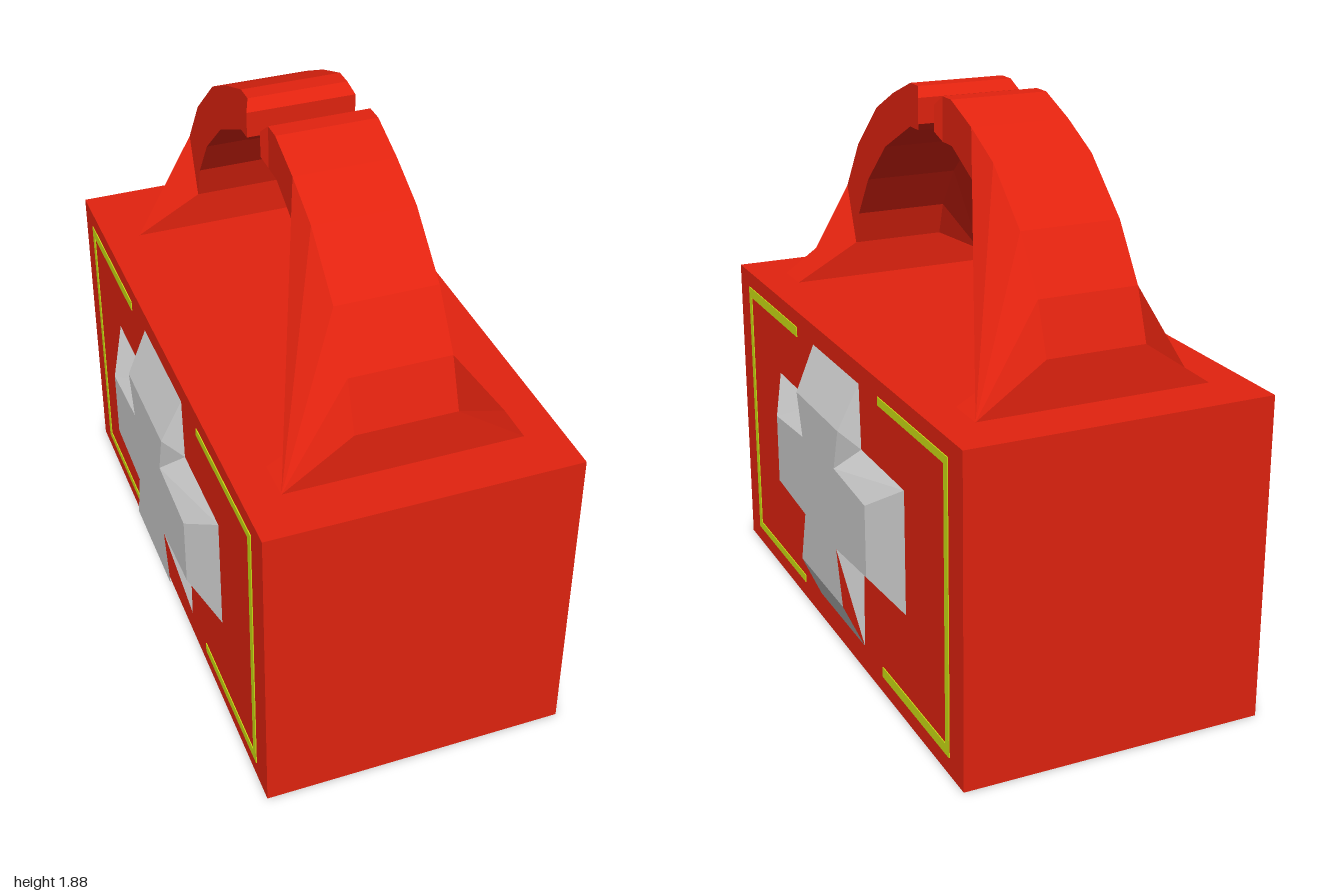
import * as THREE from 'three';

const mat = (color) => new THREE.MeshStandardMaterial({ color, flatShading: true });
const red = mat(0xe3230f);
const yellow = mat(0xcfe014);
const grey = mat(0xcccccc);

const BOX = { halfX: 0.51, height: 1.09, halfZ: 1 };

function mesh(name, geometry, material) {
  const m = new THREE.Mesh(geometry, material);
  m.name = name;
  return m;
}

function facets(triangles) {
  const g = new THREE.BufferGeometry();
  g.setAttribute('position', new THREE.Float32BufferAttribute(triangles.flat(2), 3));
  g.computeVertexNormals();
  return g;
}

// Handle arm: closed profile of [z, y, half width], from outer foot over the tip to inner foot
const W = 0.165, FOOT = 0.39, TIP = 0.18;
const ARM = [
  [0.825, 1.09, FOOT], [0.825, 1.246, W], [0.766, 1.41, W], [0.648, 1.583, W],
  [0.465, 1.747, W], [0.31, 1.824, W], [0.16, 1.882, W], [0.096, 1.882, W],
  [0.064, 1.85, TIP], [0.064, 1.765, TIP], [0.096, 1.738, W], [0.166, 1.738, W],
  [0.39, 1.626, W], [0.557, 1.476, W], [0.655, 1.33, W], [0.69, 1.214, W], [0.69, 1.09, FOOT],
];
// The two flanks meet the flared foot differently: a long web on one, a short gusset on the other
const END = [[5, 6, 11], [6, 7, 11], [7, 10, 11], [7, 8, 10], [8, 9, 10], [5, 11, 12]];
const WEB = [[0, 1, 2], [0, 2, 3], [0, 3, 4], [0, 4, 5], [0, 5, 13], [0, 13, 14],
  [0, 14, 15], [0, 15, 16], [5, 12, 13], ...END];
const GUSSET = [[0, 1, 16], [1, 2, 16], [2, 15, 16], [2, 14, 15], [2, 3, 14],
  [3, 13, 14], [3, 4, 13], [4, 12, 13], [4, 5, 12], ...END];

function handleGeometry() {
  const at = (i, side) => [side * ARM[i][2], ARM[i][1], ARM[i][0]];
  const tris = [];
  ARM.forEach((_, i) => {
    const j = (i + 1) % ARM.length;
    const a = at(i, -1), b = at(i, 1), c = at(j, 1), d = at(j, -1);
    tris.push([a, b, c], [a, c, d]);
  });
  for (const [a, b, c] of WEB) tris.push([at(a, -1), at(b, -1), at(c, -1)]);
  for (const [a, b, c] of GUSSET) tris.push([at(a, 1), at(c, 1), at(b, 1)]);
  return facets(tris);
}

// Bevelled cross: matching outlines [z, y] at the wall and on the raised face
function crossGeometry() {
  const mirror = (half) => [...half, ...half.slice().reverse().map(([z, y]) => [-z, y])];
  const base = mirror([[0.21, 1.02], [0.22, 0.8], [0.573, 0.8], [0.573, 0.38], [0.22, 0.38], [0.21, 0.09]]);
  const face = mirror([[0.195, 0.866], [0.15, 0.72], [0.42, 0.7], [0.42, 0.455], [0.15, 0.435], [0.2, 0.246]]);
  const low = ([z, y]) => [BOX.halfX, y, z];
  const high = ([z, y]) => [0.58, y, z];
  const centre = [0.58, 0.575, 0];
  const tris = [];
  base.forEach((p, i) => {
    const j = (i + 1) % base.length;
    const a = low(p), b = low(base[j]), c = high(face[j]), d = high(face[i]);
    tris.push([a, c, b], [a, d, c], [centre, c, d]);
  });
  // outline runs clockwise seen from +x, so reverse where needed
  return facets(tris.map((t) => orient(t, centre)));
}

// Turn a triangle so that it faces away from the wall behind the cross
function orient(t, centre) {
  const [a, b, c] = t.map((p) => new THREE.Vector3(...p));
  const n = b.clone().sub(a).cross(c.clone().sub(a));
  return n.x < 0 ? [t[0], t[2], t[1]] : t;
}

// Thin square bracket trim on the side wall
function bracketGeometry() {
  const s = new THREE.Shape([
    [0.373, 0.06], [0.9, 0.06], [0.9, 1.033], [0.373, 1.033],
    [0.373, 1.005], [0.873, 1.005], [0.873, 0.096], [0.373, 0.096],
  ].map(([x, y]) => new THREE.Vector2(x, y)));
  const g = new THREE.ExtrudeGeometry(s, { depth: 0.013, bevelEnabled: false });
  g.rotateY(Math.PI / 2);
  g.translate(0.5, 0, 0);
  return g;
}

export function createModel() {
  const model = new THREE.Group();
  model.name = 'firstAidCase';

  const body = mesh('caseBody', new THREE.BoxGeometry(BOX.halfX * 2, BOX.height, BOX.halfZ * 2), red);
  body.position.y = BOX.height / 2;
  model.add(body);

  const armGeo = handleGeometry();
  const crossGeo = crossGeometry();
  const backBracket = bracketGeometry();
  const frontBracket = bracketGeometry().rotateX(Math.PI).translate(0, 1.093, 0);

  // Everything repeats by a half turn about the vertical axis
  ['front', 'back'].forEach((end, i) => {
    const handle = mesh(end + 'Handle', armGeo, red);
    handle.rotation.y = i * Math.PI;
    model.add(handle);

    const panel = new THREE.Group();
    panel.name = i ? 'rightPanel' : 'leftPanel';
    panel.add(mesh('cross', crossGeo, grey));
    panel.add(mesh('bracketTrim', backBracket, yellow));
    panel.add(mesh('bracketTrim', frontBracket, yellow));
    panel.rotation.y = i * Math.PI;
    model.add(panel);
  });
  return model;
}
